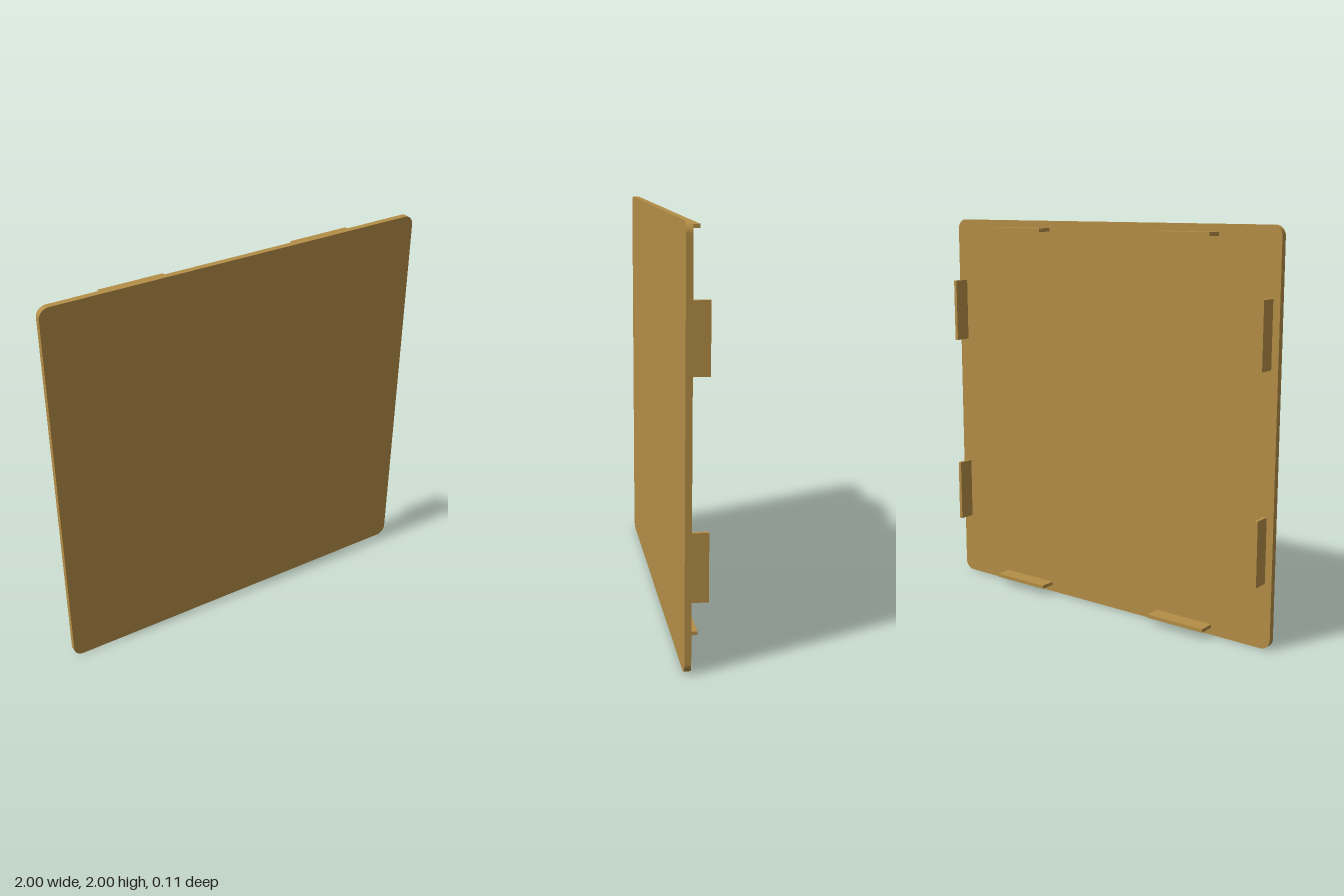
import * as THREE from 'three';

const FRONT = 0.057, SEAM = 0.026, BACK = -0.057;

// Square outline with rounded corners, centred on the origin
function roundedSquare(h, r) {
  const s = new THREE.Shape();
  s.moveTo(h, -h + r);
  s.absarc(h - r, h - r, r, 0, Math.PI / 2);
  s.absarc(-h + r, h - r, r, Math.PI / 2, Math.PI);
  s.absarc(-h + r, -h + r, r, Math.PI, Math.PI * 1.5);
  s.absarc(h - r, -h + r, r, Math.PI * 1.5, Math.PI * 2);
  return s;
}

export function createModel() {
  const group = new THREE.Group();
  const material = new THREE.MeshStandardMaterial({ color: 0xb58e47 });

  // Thin square panel
  const panelGeometry = new THREE.ExtrudeGeometry(roundedSquare(1, 0.05), {
    depth: FRONT - SEAM, bevelEnabled: false, curveSegments: 10,
  });
  const panel = new THREE.Mesh(panelGeometry, material);
  panel.name = 'panel';
  panel.position.set(0, 1, SEAM);
  group.add(panel);

  // Two tabs behind each of the four edges
  const tabs = new THREE.Group();
  tabs.name = 'tabs';
  tabs.position.y = 1;
  const tabGeometry = new THREE.BoxGeometry(0.325, 0.018, SEAM - BACK);
  for (let side = 0; side < 4; side++) {
    const edge = new THREE.Group();
    edge.name = 'edgeTabs';
    edge.rotation.z = side * Math.PI / 2;
    for (const x of [-0.51, 0.51]) {
      const tab = new THREE.Mesh(tabGeometry, material);
      tab.name = 'tab';
      tab.position.set(x, 0.955, (SEAM + BACK) / 2);
      edge.add(tab);
    }
    tabs.add(edge);
  }
  group.add(tabs);
  return group;
}
